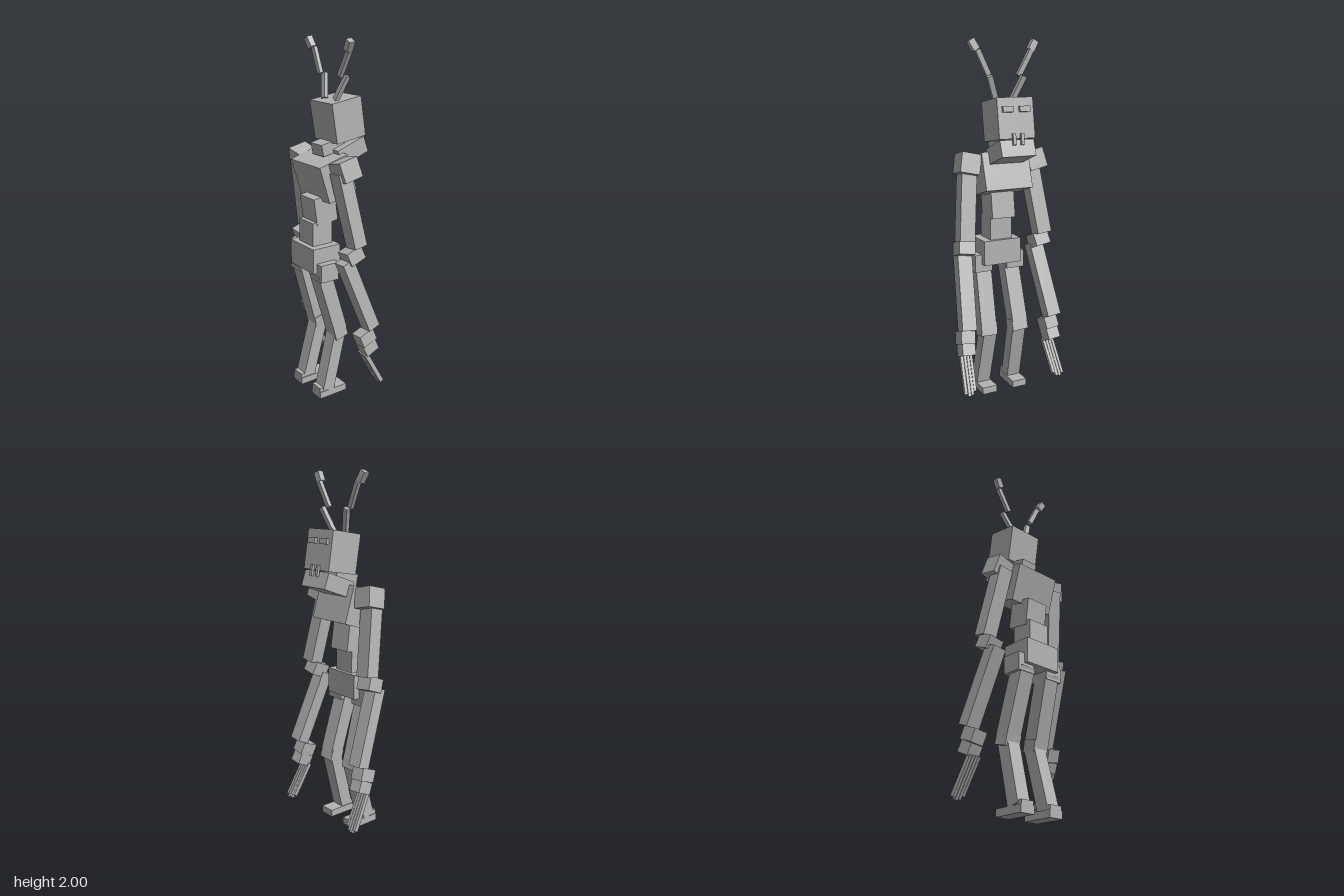
import * as THREE from 'three';

export function createModel() {
  const model = new THREE.Group();
  model.name = 'insectoidFigure';
  const grey = new THREE.MeshStandardMaterial({ color: 0xb4b4b4 });
  grey.name = 'plain grey';

  // Box at a centre, tilted about x and z
  function block(name, size, pos, rx = 0, rz = 0) {
    const m = new THREE.Mesh(new THREE.BoxGeometry(...size), grey);
    m.name = name;
    m.position.set(...pos);
    m.rotation.set(rx, 0, rz);
    model.add(m);
    return m;
  }

  // Box running from one joint to another, width kept close to the x axis
  function bone(name, a, b, width, depth) {
    const A = new THREE.Vector3(...a), B = new THREE.Vector3(...b);
    const up = A.clone().sub(B);
    const length = up.length();
    up.normalize();
    const side = new THREE.Vector3(1, 0, 0).addScaledVector(up, -up.x).normalize();
    const front = new THREE.Vector3().crossVectors(side, up);
    const m = block(name, [width, length, depth], A.add(B).multiplyScalar(0.5).toArray());
    m.quaternion.setFromRotationMatrix(new THREE.Matrix4().makeBasis(side, up, front));
    return m;
  }

  // Head and trunk
  block('head', [0.21, 0.215, 0.188], [0, 1.578, -0.05], 0.16);
  block('jaw', [0.2, 0.09, 0.182], [0, 1.408, -0.082], 0.35);
  block('neck', [0.105, 0.065, 0.15], [0, 1.435, 0.01], 0.22);
  block('chest', [0.28, 0.21, 0.183], [0, 1.28, 0.042], 0.3);
  block('upperAbdomen', [0.14, 0.155, 0.135], [0, 1.1, 0.074], 0.14);
  block('lowerAbdomen', [0.134, 0.16, 0.125], [0, 0.955, 0.096]);
  block('pelvis', [0.226, 0.14, 0.175], [0, 0.835, 0.1]);

  for (const s of [-1, 1]) {
    const side = s > 0 ? 'left' : 'right';
    const p = (x, y, z) => [s * x, y, z];

    // Face details, which look toward the rear axis
    block(side + 'Eye', [0.062, 0.03, 0.024], p(0.049, 1.638, -0.14), 0.16);
    block(side + 'Fang', [0.018, 0.06, 0.014], p(0.024, 1.485, -0.168), 0.16);

    // Antenna in three stepped pieces
    bone(side + 'AntennaBase', p(0.102, 1.805, -0.036), p(0.05, 1.68, 0), 0.03, 0.024);
    bone(side + 'AntennaMiddle', p(0.158, 1.938, -0.008), p(0.088, 1.805, 0.001), 0.028, 0.022);
    bone(side + 'AntennaTip', p(0.19, 1.988, 0.01), p(0.16, 1.937, 0.004), 0.037, 0.034);

    // Arm
    block(side + 'Shoulder', [0.112, 0.11, 0.112], p(0.2, 1.34, 0.042), 0.23, s * 0.22);
    bone(side + 'UpperArm', p(0.19, 1.33, 0.068), p(0.24, 0.925, -0.006), 0.088, 0.078);
    block(side + 'Elbow', [0.094, 0.075, 0.096], p(0.233, 0.88, 0.02), 0.37, s * 0.15);
    bone(side + 'Forearm', p(0.226, 0.85, 0.065), p(0.267, 0.443, -0.088), 0.084, 0.072);
    block(side + 'Wrist', [0.082, 0.07, 0.094], p(0.264, 0.39, -0.05), 0.36, s * 0.12);
    block(side + 'Hand', [0.076, 0.065, 0.086], p(0.268, 0.325, -0.07), 0.42, s * 0.1);
    for (let i = 0; i < 4; i++) {
      const dx = (i - 1.5) * 0.0185;
      const shorten = [0.02, 0.004, 0, 0.012][i];
      bone(side + 'Finger' + (i + 1), p(0.262 + dx, 0.29, -0.042),
        p(0.279 + dx, 0.085 + shorten, -0.15 + shorten * 0.5), 0.016, 0.024);
    }

    // Leg
    block(side + 'Hip', [0.108, 0.1, 0.115], p(0.1, 0.77, 0.107));
    bone(side + 'Thigh', p(0.088, 0.76, 0.128), p(0.1, 0.4, 0.027), 0.094, 0.085);
    block(side + 'Knee', [0.098, 0.07, 0.082], p(0.098, 0.385, 0.025), 0.25, s * 0.05);
    bone(side + 'Shin', p(0.092, 0.375, 0.022), p(0.1, 0.04, 0.108), 0.082, 0.075);
    block(side + 'Heel', [0.076, 0.06, 0.095], p(0.097, 0.034, 0.117));
    block(side + 'Foot', [0.088, 0.04, 0.18], p(0.097, 0.02, 0.075));
  }
  return model;
}
